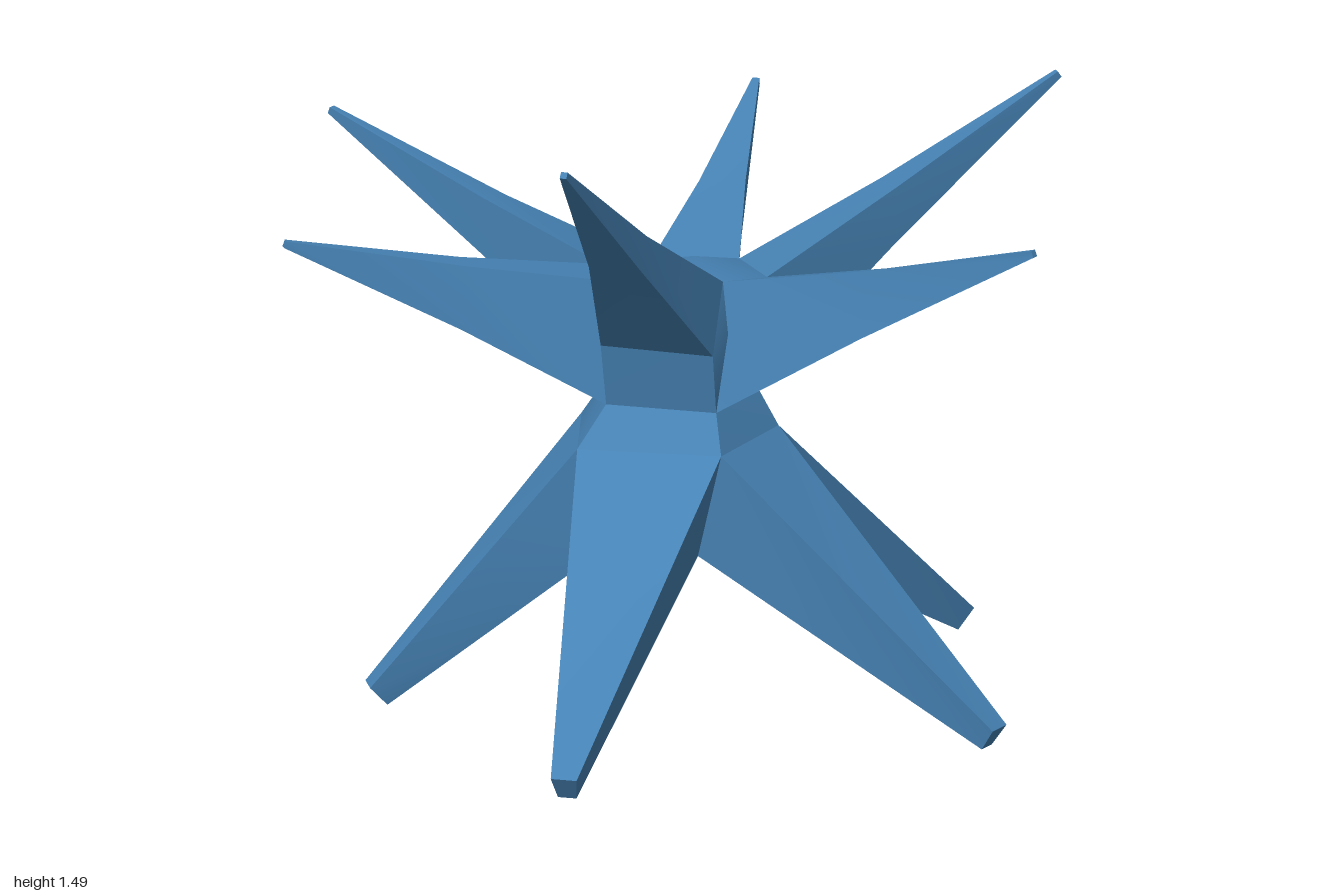
import * as THREE from 'three';
import { toCreasedNormals } from 'three/addons/utils/BufferGeometryUtils.js';
import { ConvexGeometry } from 'three/addons/geometries/ConvexGeometry.js';

const V = (p) => new THREE.Vector3(...p);

// Tapered spike: four base corners (clockwise seen from the tip) lofted to a small end face.
function spikeGeometry(base, tip, endShape, size, pinch) {
  const b = base.map(V), end = V(tip);
  const centre = b.reduce((s, p) => s.add(p), new THREE.Vector3()).divideScalar(b.length);
  const dir = end.clone().sub(centre).normalize();
  const u = new THREE.Vector3(0, 1, 0).cross(dir).normalize();
  const v = dir.clone().cross(u);
  const e = endShape.map(([x, y]) => end.clone().addScaledVector(u, x * size).addScaledVector(v, y * size));
  const axis = centre.clone().lerp(end, 0.45);
  const mid = b.map((p, i) => p.clone().lerp(e[i], 0.45).sub(axis).multiplyScalar(pinch).add(axis));
  const rings = [b, mid, e], n = b.length, index = [];
  for (let r = 0; r < 2; r++) {
    for (let i = 0; i < n; i++) {
      const j = (i + 1) % n, a = r * n, c = a + n;
      index.push(a + i, c + i, a + j, a + j, c + i, c + j);
    }
  }
  for (let k = 1; k < n - 1; k++) index.push(2 * n, 2 * n + k + 1, 2 * n + k);
  const g = new THREE.BufferGeometry().setFromPoints(rings.flat());
  g.setIndex(index);
  return toCreasedNormals(g, 0.6);
}

export function createModel() {
  const group = new THREE.Group();
  const material = new THREE.MeshStandardMaterial({ color: 0x4682b4 });
  const add = (name, geometry) => {
    const mesh = new THREE.Mesh(geometry, material);
    mesh.name = name;
    group.add(mesh);
  };

  // Hub corners, running from front right round by the left side
  const top = [[-0.1, 0.98, 0.09], [0.145, 1.0, 0.09], [0.21, 0.97, -0.06],
    [0.09, 0.94, -0.27], [-0.11, 0.93, -0.23], [-0.17, 0.98, -0.03]];
  const waist = [[-0.11, 0.71, 0.17], [0.15, 0.71, 0.17], [0.19, 0.7, -0.06],
    [0.09, 0.7, -0.19], [-0.11, 0.7, -0.18], [-0.16, 0.71, -0.02]];
  const hip = [[-0.16, 0.62, 0.24], [0.18, 0.63, 0.24], [0.24, 0.62, -0.05],
    [0.03, 0.61, -0.25], [-0.22, 0.62, -0.03]];
  const belly = [[-0.1, 0.38, 0.22], [0.12, 0.38, 0.22], [0.15, 0.37, 0.0],
    [0.0, 0.39, -0.16], [-0.14, 0.37, 0.0]];
  const chest = [[-0.115, 0.86, 0.2], [0.15, 0.855, 0.2]];

  // Hub: two convex blocks meeting at the waist
  const hull = (pts) => toCreasedNormals(new ConvexGeometry(pts.map(V)), 0.7);
  add('upperHub', hull([...top, ...waist, ...chest, [0.03, 1.0, -0.08]]));
  add('lowerHub', hull([...waist, ...hip, ...belly]));

  // Six upper spikes
  const square = [[-1, 1], [1, 1], [1, -1], [-1, -1]];
  const arms = [
    ['frontSpike', [-0.03, 1.48, 0.86], 0.82],
    ['leftFrontSpike', [0.93, 1.19, 0.28], 0.9],
    ['leftBackSpike', [0.76, 1.34, -0.59], 0.9],
    ['backSpike', [-0.06, 1.13, -0.995], 0.9],
    ['rightBackSpike', [-0.93, 1.15, -0.48], 0.88],
    ['rightFrontSpike', [-0.81, 1.11, 0.4], 0.9],
  ];
  arms.forEach(([name, tip, pinch], i) => {
    const j = (i + 1) % 6;
    const low = i === 0 ? chest : [waist[i], waist[j]];
    add(name, spikeGeometry([top[i], top[j], low[1], low[0]], tip, square, 0.008, pinch));
  });

  // Five blunt legs spreading from the hips
  const trapezoid = [[-0.9, 0.8], [0.9, 0.8], [0.65, -1], [-0.65, -1]];
  const legs = [
    ['frontLeg', [0.005, 0.05, 0.98]],
    ['leftFrontLeg', [0.84, 0.03, 0.3]],
    ['leftBackLeg', [0.545, 0.04, -0.535]],
    ['rightBackLeg', [-0.585, 0.025, -0.415]],
    ['rightFrontLeg', [-0.615, 0.025, 0.32]],
  ];
  legs.forEach(([name, tip], i) => {
    const j = (i + 1) % 5;
    add(name, spikeGeometry([hip[i], hip[j], belly[j], belly[i]], tip, trapezoid, 0.034, 1));
  });

  return group;
}
